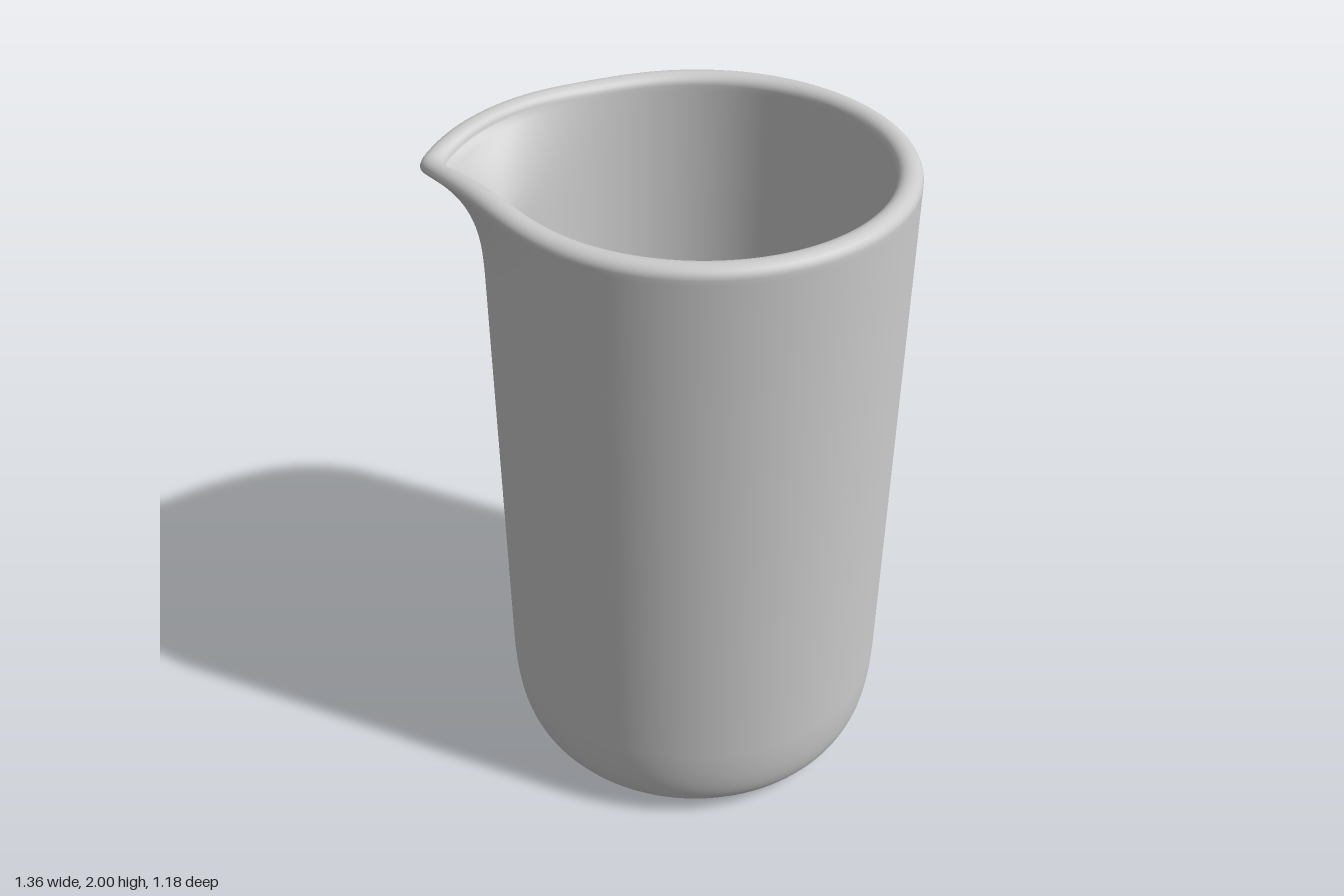
import * as THREE from 'three';
import { mergeVertices } from 'three/addons/utils/BufferGeometryUtils.js';

const CENTRE_X = 0.09, OUTER = 0.59, INNER = 0.52, TOP = 1.99;

// Closed wall section: underside, outer wall, rounded rim, inner wall, floor
function wallProfile() {
  const pts = [];
  const add = (x, y) => pts.push(new THREE.Vector2(x, y));
  const curve = (p0, p1, p2, p3, n) => {
    const v = [p0, p1, p2, p3].map(p => new THREE.Vector2(...p));
    pts.push(...new THREE.CubicBezierCurve(...v).getPoints(n));
  };
  add(0, 0);
  add(0.2, 0);
  curve([0.38, 0.002], [0.54, 0.01], [0.585, 0.05], [OUTER, 0.3], 18);
  for (const y of [0.7, 1.1, 1.4]) add(OUTER, y);
  for (let i = 0; i <= 24; i++) add(OUTER, 1.6 + i * 0.36 / 24);
  const mid = (OUTER + INNER) / 2, half = (OUTER - INNER) / 2;
  for (let i = 1; i < 12; i++) {
    const a = i / 12 * Math.PI;
    add(mid + half * Math.cos(a), 1.96 + (TOP - 1.96) * Math.sin(a));
  }
  for (let i = 24; i >= 0; i--) add(INNER, 1.6 + i * 0.36 / 24);
  for (const y of [1.4, 1.1, 0.7]) add(INNER, y);
  curve([INNER, 0.25], [INNER, 0.1], [0.48, 0.08], [0.38, 0.075], 14);
  add(0.2, 0.075);
  add(0, 0.075);
  return pts;
}

// Pull the rim out towards -x into a drooping pointed lip
function pullSpout(geometry) {
  const pos = geometry.attributes.position;
  for (let i = 0; i < pos.count; i++) {
    const x = pos.getX(i), y = pos.getY(i), z = pos.getZ(i);
    const t = THREE.MathUtils.clamp((y - 1.62) / 0.34, 0, 1);
    if (t === 0) continue;
    const angle = Math.abs(Math.atan2(z, -x));
    const f = Math.exp(-Math.pow(angle / 0.396, 1.57));
    const flare = Math.pow(t, 3.9);
    const r = Math.hypot(x, z);
    const k = (r + 0.18 * f * flare) / r;
    const rise = 0.012 * Math.exp(-Math.pow((angle - 0.5) / 0.3, 2));
    pos.setXYZ(i, x * k, y + flare * (rise - 0.05 * f ** 3), z * k);
  }
}

export function createModel() {
  const group = new THREE.Group();
  group.name = 'pouringJug';

  let geometry = new THREE.LatheGeometry(wallProfile(), 160, Math.PI / 2);
  geometry.deleteAttribute('uv');
  geometry.deleteAttribute('normal');
  geometry = mergeVertices(geometry, 1e-5);
  pullSpout(geometry);
  geometry.computeVertexNormals();

  const jug = new THREE.Mesh(geometry, new THREE.MeshStandardMaterial({ color: 0xcccccc }));
  jug.name = 'jugBodyWithSpout';
  jug.position.x = CENTRE_X;
  group.add(jug);
  return group;
}
